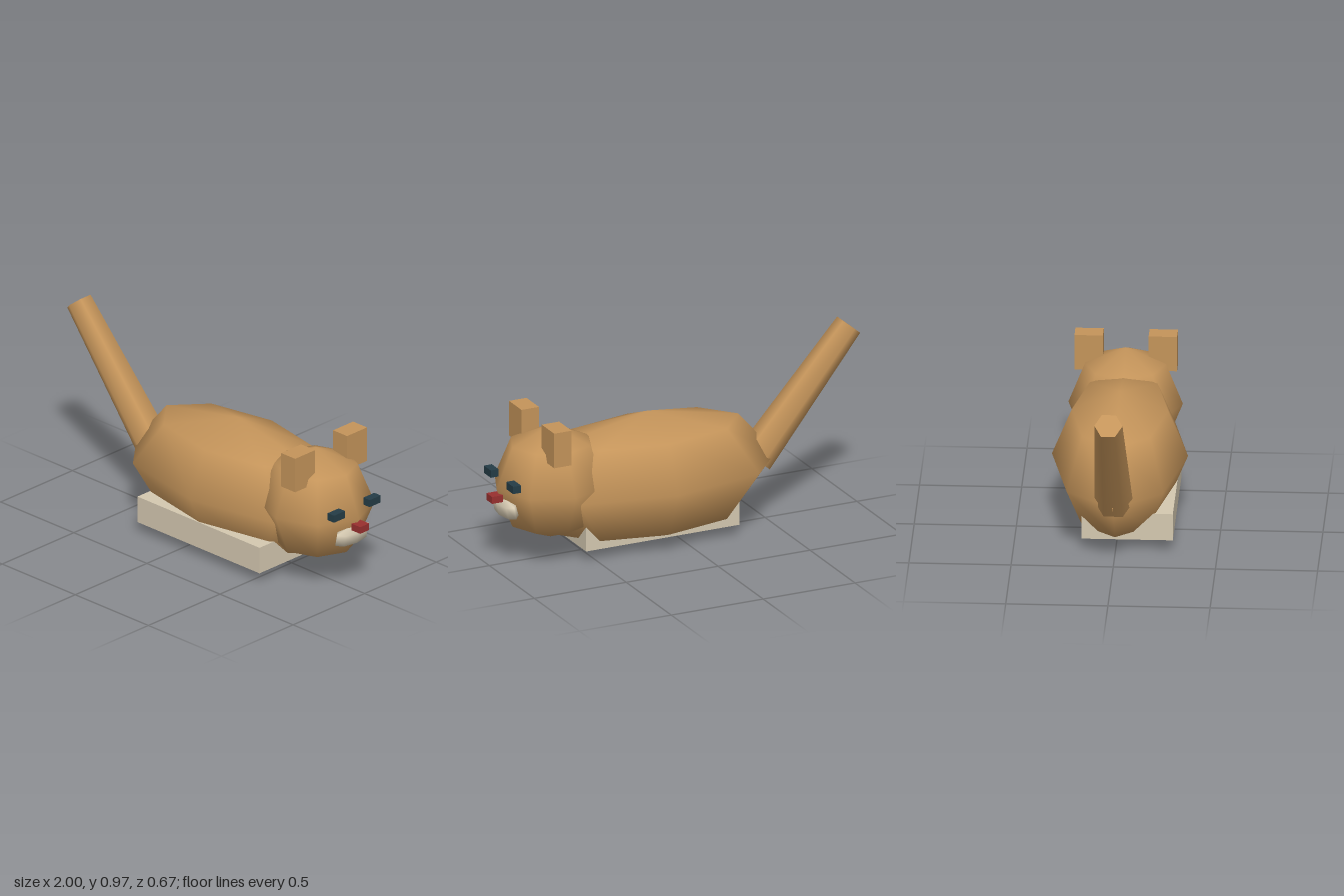
import * as THREE from 'three';

const material = (name, color) => {
  const m = new THREE.MeshStandardMaterial({ color });
  m.name = name;
  return m;
};

export function createModel() {
  const group = new THREE.Group();
  const tan = material('tan fur', 0xc4945a);
  const cream = material('cream', 0xd4c8b0);
  const dark = material('dark eyes', 0x243c46);
  const red = material('red nose', 0x98302f);

  const add = (name, geometry, mat, x, y, z) => {
    const mesh = new THREE.Mesh(geometry, mat);
    mesh.name = name;
    mesh.position.set(x, y, z);
    group.add(mesh);
    return mesh;
  };
  // Box given by its low and high limits on each axis
  const box = (name, mat, [x0, x1], [y0, y1], [z0, z1]) =>
    add(name, new THREE.BoxGeometry(x1 - x0, y1 - y0, z1 - z0), mat,
      (x0 + x1) / 2, (y0 + y1) / 2, (z0 + z1) / 2);
  // Low-poly ellipsoid with smooth normals
  const ellipsoid = (rx, ry, rz, rings) =>
    new THREE.SphereGeometry(1, 8, rings).scale(rx, ry, rz);

  // Body and head
  add('body', ellipsoid(0.693, 0.333, 0.333, 4), tan, 0.135, 0.337, 0);
  add('head', ellipsoid(0.293, 0.292, 0.28, 4), tan, 0.667, 0.393, 0);

  // Base slab under the belly, offset towards the front
  box('baseSlab', cream, [-0.28, 0.555], [0.06, 0.198], [-0.167, 0.28]);

  // Tapered six-sided tail, leaning back and up, corners pointing sideways
  const length = 0.8;
  const angle = THREE.MathUtils.degToRad(50);
  const tip = new THREE.Vector2(-0.955, 0.936);
  const tail = add('tail', new THREE.CylinderGeometry(0.069, 0.094, length, 6), tan,
    tip.x + Math.cos(angle) * length / 2, tip.y - Math.sin(angle) * length / 2, 0);
  tail.rotation.z = Math.PI / 2 - angle;

  // Mirrored ears and eyes
  for (const [side, s] of [['left', -1], ['right', 1]]) {
    const span = (a, b) => (s > 0 ? [a, b] : [-b, -a]);
    box(side + 'Ear', tan, [0.675, 0.77], [0.56, 0.741], span(0.112, 0.251));
    box(side + 'Eye', dark, [0.907, 0.95], [0.425, 0.463], span(0.086, 0.163));
  }

  // Nose and muzzle
  box('nose', red, [0.94, 1], [0.337, 0.373], [-0.031, 0.031]);
  const muzzle = add('muzzle', ellipsoid(0.046, 0.06, 0.127, 3), cream, 0.913, 0.297, 0);
  muzzle.rotation.z = -0.2;

  return group;
}
